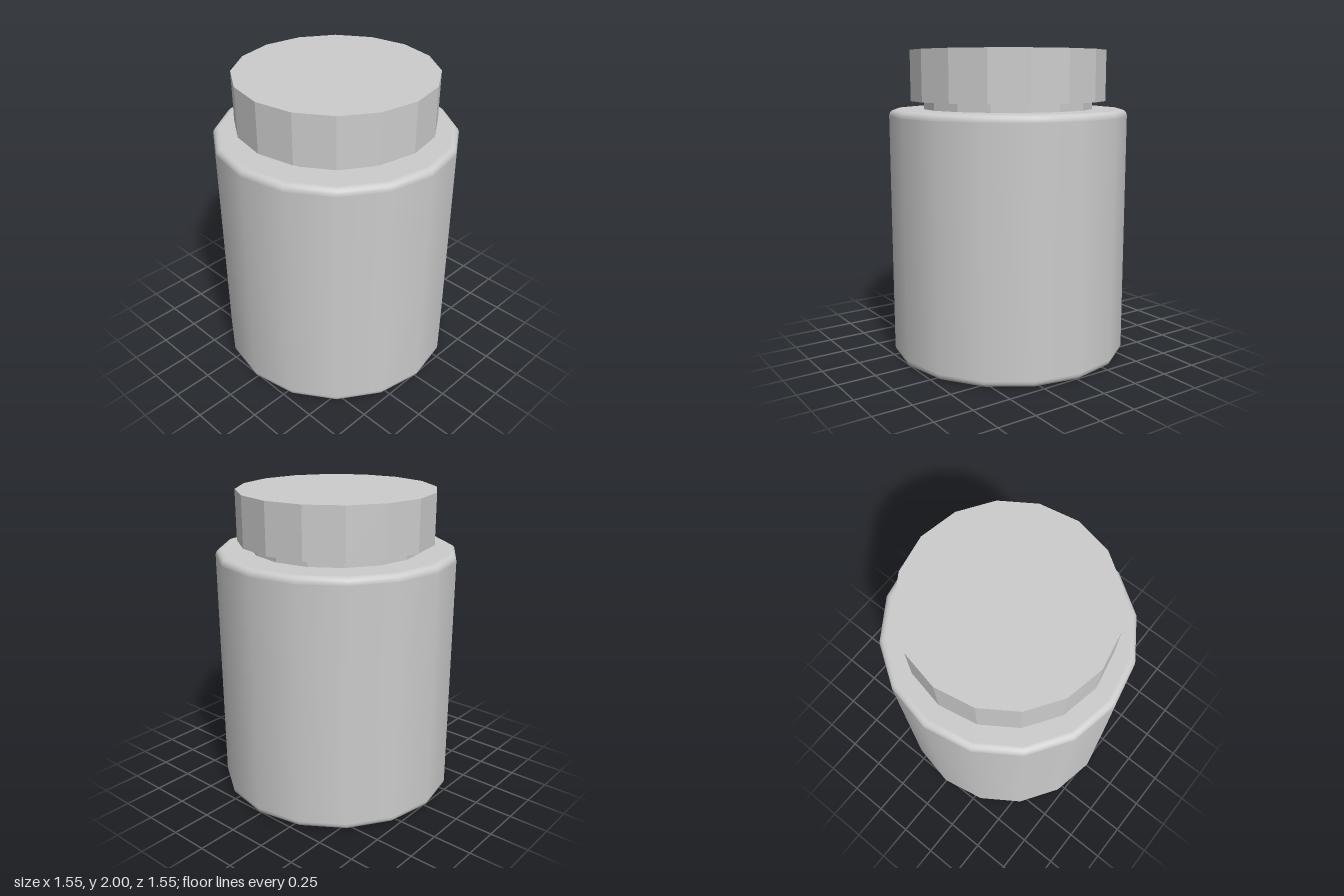
import * as THREE from 'three';

const SIDES = 16;

export function createModel() {
  const group = new THREE.Group();
  const smooth = new THREE.MeshStandardMaterial({ color: 0xcccccc });
  const faceted = new THREE.MeshStandardMaterial({ color: 0xcccccc, flatShading: true });

  // Body: lathed profile with rounded rims; support points keep ends and wall even
  const radius = 0.776, height = 1.625, fillet = 0.04, steps = 5, support = 0.004;
  const profile = [new THREE.Vector2(0, 0), new THREE.Vector2(radius - fillet - support, 0)];
  const addFillet = (centreY, startAngle) => {
    for (let i = 0; i <= steps; i++) {
      const a = startAngle + (i / steps) * Math.PI / 2;
      profile.push(new THREE.Vector2(radius - fillet + fillet * Math.cos(a), centreY + fillet * Math.sin(a)));
    }
  };
  addFillet(fillet, -Math.PI / 2);
  profile.push(new THREE.Vector2(radius, fillet + support));
  profile.push(new THREE.Vector2(radius, height - fillet - support));
  addFillet(height - fillet, 0);
  profile.push(new THREE.Vector2(radius - fillet - support, height), new THREE.Vector2(0, height));
  const body = new THREE.Mesh(new THREE.LatheGeometry(profile, SIDES), smooth);
  body.name = 'jarBody';
  group.add(body);

  // Faceted neck and lid
  const addDisc = (name, r, bottom, top) => {
    const mesh = new THREE.Mesh(new THREE.CylinderGeometry(r, r, top - bottom, SIDES), faceted);
    mesh.position.y = (bottom + top) / 2;
    mesh.name = name;
    group.add(mesh);
  };
  addDisc('neck', 0.553, 1.6, 1.69);
  addDisc('lid', 0.637, 1.677, 2);

  return group;
}
